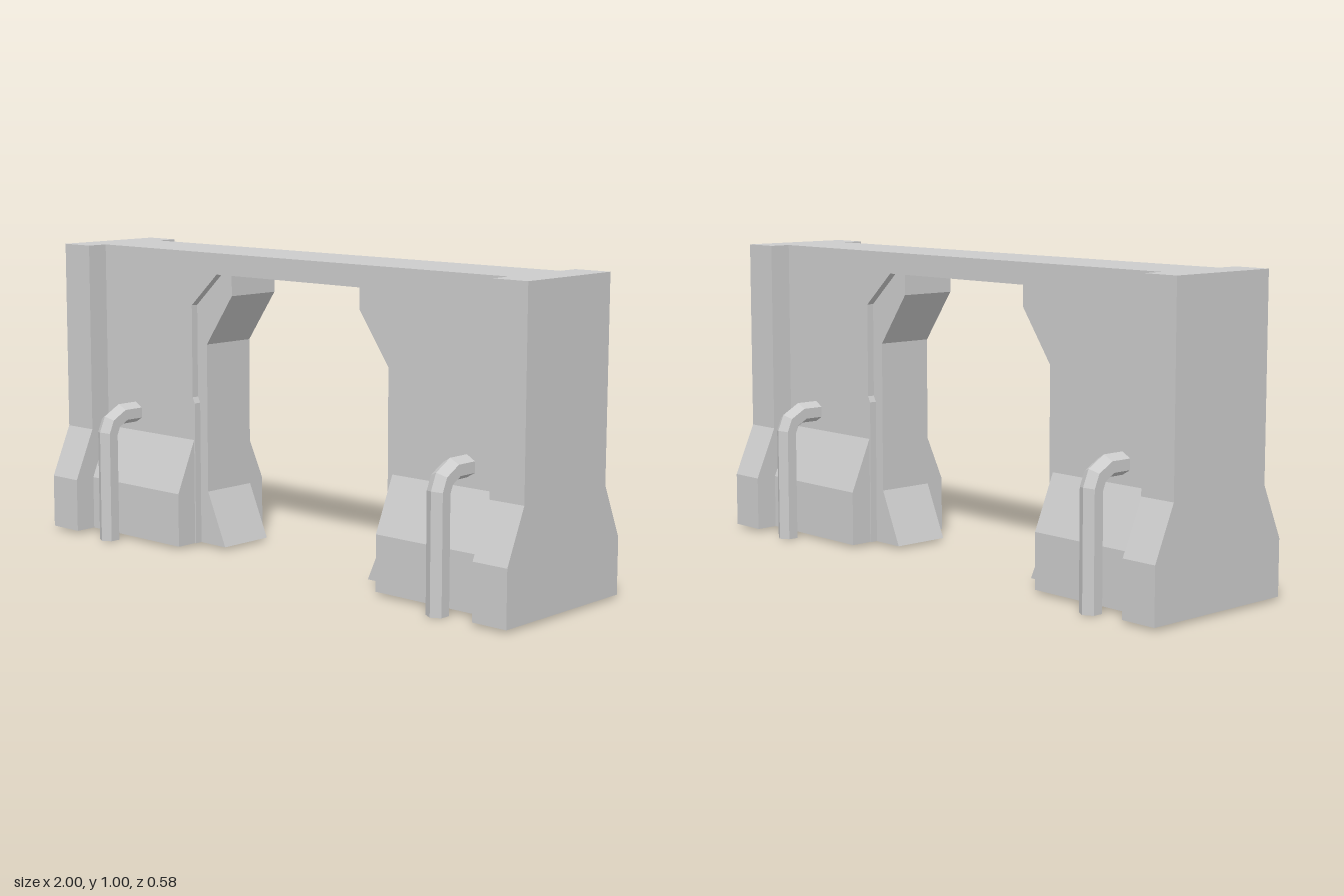
import * as THREE from 'three';

const concrete = new THREE.MeshStandardMaterial({ color: 0xcccccc });
concrete.name = 'concrete grey';

function addMesh(parent, name, geometry) {
  const mesh = new THREE.Mesh(geometry, concrete);
  mesh.name = name;
  parent.add(mesh);
  return mesh;
}

// Outline in x and y, extruded evenly to both sides of z = 0
function slab(points, depth) {
  const shape = new THREE.Shape(points.map(([x, y]) => new THREE.Vector2(x, y)));
  return new THREE.ExtrudeGeometry(shape, { depth, bevelEnabled: false }).translate(0, 0, -depth / 2);
}

// Symmetric outline in z and y, extruded along x from x0 to x1
function pier(half, x0, x1) {
  const shape = new THREE.Shape([...half, ...half.map(([z, y]) => [-z, y]).reverse()]
    .map(([z, y]) => new THREE.Vector2(z, y)));
  return new THREE.ExtrudeGeometry(shape, { depth: x1 - x0, bevelEnabled: false })
    .rotateY(Math.PI / 2).translate(x0, 0, 0);
}

// Six-sided pipe swept with mitred joints along a path in the z-y plane
function hexPipe(path, radius) {
  const pts = path.map(([z, y]) => new THREE.Vector2(z, y));
  const pos = [], index = [];
  pts.forEach((p, i) => {
    const a = p.clone().sub(pts[Math.max(i - 1, 0)]).normalize();
    const b = pts[Math.min(i + 1, pts.length - 1)].clone().sub(p).normalize();
    const dir = a.clone().add(b).normalize();
    const stretch = 1 / dir.dot(a.lengthSq() ? a : b);
    for (let k = 0; k < 6; k++) {
      const t = k * Math.PI / 3;
      const out = radius * Math.cos(t) * stretch;
      pos.push(radius * Math.sin(t), p.y - dir.x * out, p.x + dir.y * out);
    }
  });
  for (let i = 0; i < pts.length - 1; i++) {
    for (let k = 0; k < 6; k++) {
      const a = i * 6 + k, b = i * 6 + (k + 1) % 6;
      index.push(a, b, b + 6, a, b + 6, a + 6);
    }
  }
  // Bottom end
  for (let k = 1; k < 5; k++) index.push(0, k + 1, k);
  const geometry = new THREE.BufferGeometry();
  geometry.setAttribute('position', new THREE.Float32BufferAttribute(pos, 3));
  geometry.setIndex(index);
  const flat = geometry.toNonIndexed();
  flat.computeVertexNormals();
  return flat;
}

export function createModel() {
  const model = new THREE.Group();
  model.name = 'archway';

  // Wall with the chamfered opening
  const halfWall = [[0.325, 0.93], [0.445, 0.82], [0.445, 0.51], [0.435, 0.49],
    [0.435, 0.01], [0.9, 0.01], [0.9, 1]];
  addMesh(model, 'archWall', slab(
    [...halfWall, ...halfWall.map(([x, y]) => [-x, y]).reverse()], 0.25));

  for (const side of [1, -1]) {
    const label = side > 0 ? 'left' : 'right';
    const half = new THREE.Group();
    half.name = label + 'Side';
    model.add(half);

    // End post, flared at its foot
    const post = pier([[0.275, 0.01], [0.275, 0.19], [0.2, 0.36], [0.2, 1]], 0.875, 1);
    // Sloped plinth along the wall
    const plinth = pier([[0.2, 0.01], [0.2, 0.19], [0.125, 0.365]], 0.44, 0.9);
    if (side < 0) {
      post.translate(-1.875, 0, 0);
      plinth.translate(-1.34, 0, 0);
    }
    addMesh(half, 'endPost', post);
    addMesh(half, 'plinth', plinth);

    // Recessed jamb with flared foot and corner bracket
    const jamb = [[0.32, 0.01], [0.4, 0.19], [0.4, 0.69], [0.28, 0.86],
      [0.28, 0.95], [0.5, 0.95], [0.5, 0.01]];
    addMesh(half, 'doorJamb', slab(jamb.map(([x, y]) => [x * side, y]), 0.2));

    // Bent pipes on both faces
    for (const face of [1, -1]) {
      const pipe = addMesh(half, face > 0 ? 'frontPipe' : 'backPipe', hexPipe(
        [[0.255, 0], [0.255, 0.37], [0.24, 0.405], [0.195, 0.43], [0.1, 0.43]], 0.035));
      pipe.position.x = 0.73 * side;
      if (face < 0) pipe.rotation.y = Math.PI;
    }
  }
  return model;
}
